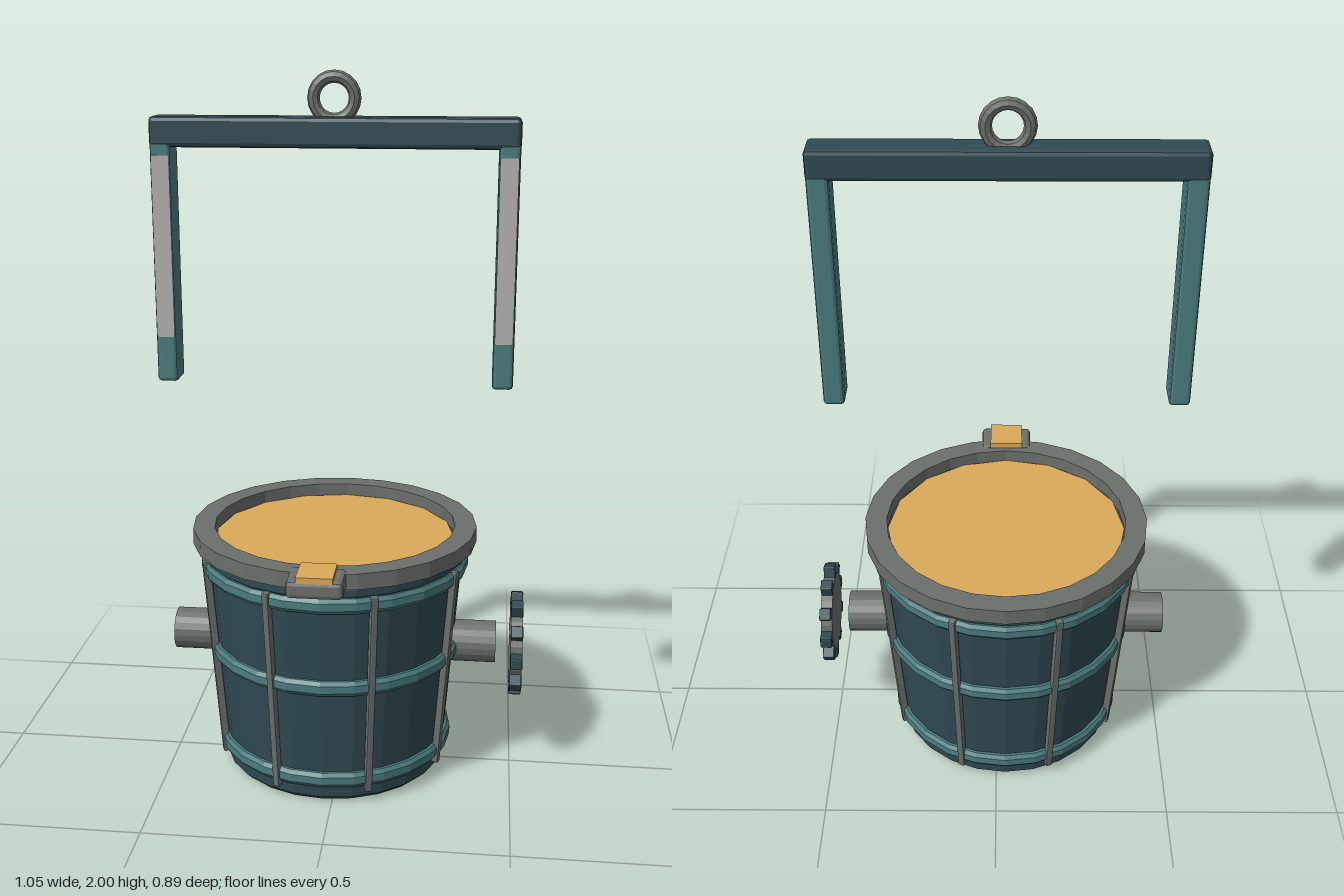
import * as THREE from 'three';
import { RoundedBoxGeometry } from 'three/addons/geometries/RoundedBoxGeometry.js';

const mat = (color) => new THREE.MeshStandardMaterial({ color, flatShading: true });

export function createModel() {
  const model = new THREE.Group();
  model.name = 'foundryLadle';
  const dark = mat(0x304a52), teal = mat(0x4a7c7e), iron = mat(0x6b706c);
  const molten = mat(0xdcaa5a), plate = mat(0xb4b2b0);

  // everything is arranged around the axis of the bucket
  const core = new THREE.Group();
  core.name = 'ladle';
  core.position.set(-0.027, 0, -0.037);
  model.add(core);

  const add = (name, geometry, material, x = 0, y = 0, z = 0, parent = core) => {
    const mesh = new THREE.Mesh(geometry, material);
    mesh.name = name;
    mesh.position.set(x, y, z);
    parent.add(mesh);
    return mesh;
  };
  const lathe = (points, segments = 24) =>
    new THREE.LatheGeometry(points.map(([r, y]) => new THREE.Vector2(r, y)), segments);
  const bar = (w, h, d, bevel) => new RoundedBoxGeometry(w, h, d, 1, bevel);
  const wallRadius = (y) => 0.322 + 0.078 * y;

  // tapered bucket with a chamfered foot
  add('bucket', lathe([
    [0, 0.005], [0.31, 0.005], [0.325, 0.02], [0.327, 0.05], [wallRadius(0.06), 0.06],
    [wallRadius(0.645), 0.645], [0.381, 0.652], [0.381, 0.672], [0.372, 0.69],
    [0.343, 0.69], [0.335, 0.6],
  ]), dark);

  // hoops
  for (const y of [0.08, 0.373, 0.625]) {
    const r = wallRadius(y), h = 0.022;
    add('hoop', lathe([
      [r - 0.01, y - h], [r + 0.01, y - h], [r + 0.018, y - h / 2],
      [r + 0.018, y + h / 2], [r + 0.01, y + h], [r - 0.01, y + h],
    ]), teal);
  }

  // leaning vertical ribs
  for (let i = 0; i < 8; i++) {
    const pivot = new THREE.Group();
    pivot.name = 'ribPivot';
    pivot.rotation.y = (i + 0.5) * Math.PI / 4;
    core.add(pivot);
    const rib = add('rib', bar(0.02, 0.61, 0.022, 0.004), iron, 0, 0.345, wallRadius(0.345) + 0.01, pivot);
    rib.rotation.x = Math.atan(0.078);
  }

  // rim ring and melt surface
  add('rim', lathe([[0.349, 0.685], [0.411, 0.685], [0.411, 0.73], [0.349, 0.73], [0.349, 0.685]]), iron);
  add('melt', new THREE.CylinderGeometry(0.347, 0.335, 0.03, 16), molten, 0, 0.68);

  // pouring lip
  add('spout', bar(0.152, 0.05, 0.115, 0.012), iron, 0, 0.709, 0.42);
  add('spoutMelt', new THREE.BoxGeometry(0.098, 0.03, 0.108), molten, 0, 0.73, 0.421);

  // trunnions
  for (const side of [-1, 1]) {
    const pin = add('trunnion', new THREE.CylinderGeometry(0.061, 0.061, 0.155, 20), iron, side * 0.398, 0.373);
    pin.rotation.z = Math.PI / 2;
  }

  // tilting gear on the left side
  const gear = new THREE.Group();
  gear.name = 'gear';
  gear.position.set(0.535, 0.373, 0);
  core.add(gear);
  add('gearDisc', new THREE.CylinderGeometry(0.118, 0.118, 0.034, 20), iron, 0, 0, 0, gear).rotation.z = Math.PI / 2;
  for (let i = 0; i < 10; i++) {
    const a = (i + 0.5) * Math.PI / 5;
    const tooth = add('gearTooth', bar(0.035, 0.04, 0.036, 0.004), dark, 0, Math.cos(a) * 0.13, Math.sin(a) * 0.13, gear);
    tooth.rotation.x = a;
  }

  // lifting yoke above the bucket
  add('crossbar', bar(1.0, 0.082, 0.094, 0.012), dark, 0, 1.839);
  for (const side of [-1, 1]) {
    add('yokeLeg', bar(0.058, 0.68, 0.09, 0.01), teal, side * 0.47, 1.488);
    add('legPlate', new THREE.BoxGeometry(0.05, 0.5, 0.01), plate, side * 0.47, 1.527, 0.043);
  }

  // hoisting eye
  add('hoistRing', new THREE.TorusGeometry(0.056, 0.017, 8, 20), iron, 0, 1.928);

  return model;
}
